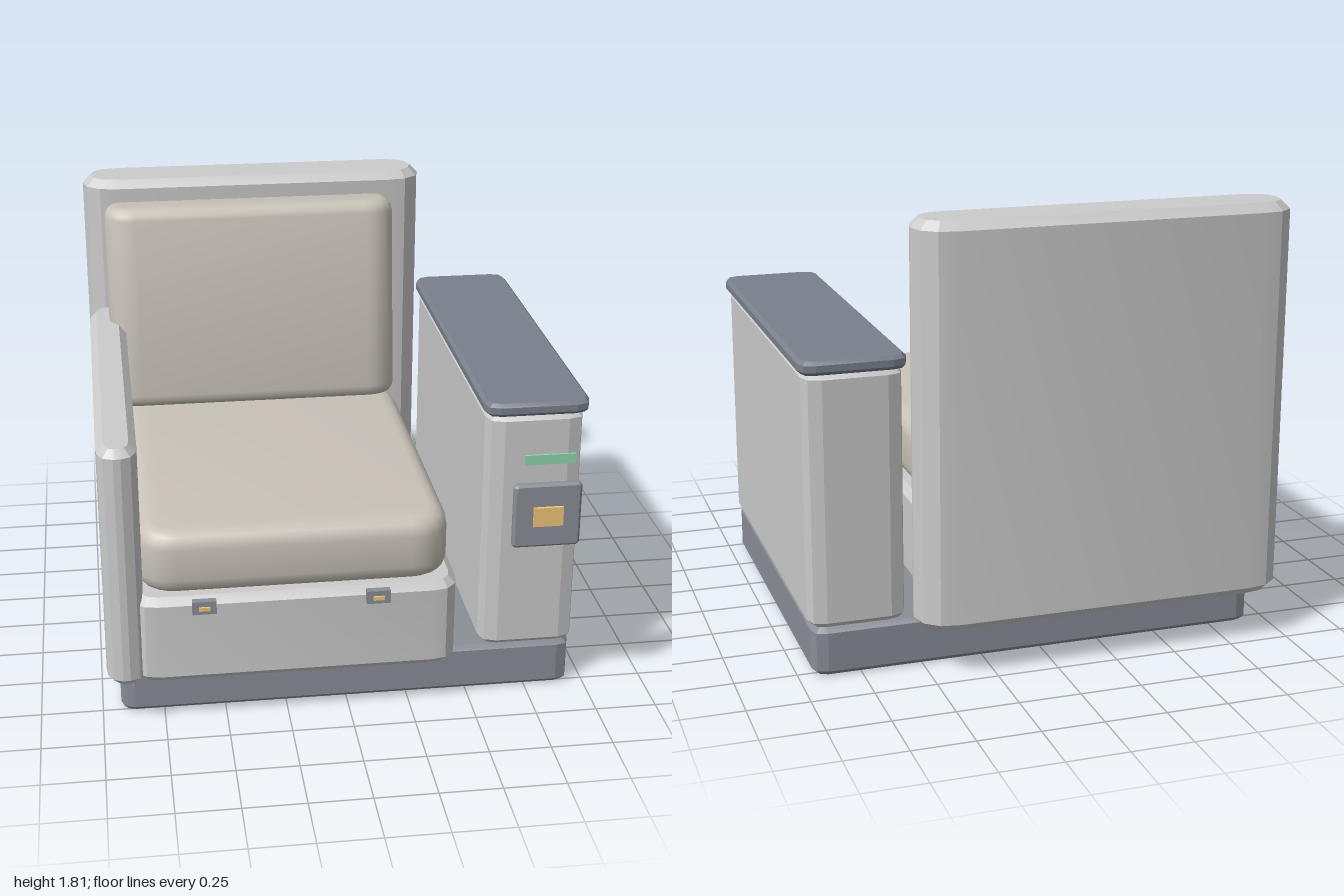
import * as THREE from 'three';
import { toCreasedNormals } from 'three/addons/utils/BufferGeometryUtils.js';

const GREY = 0xcccccc, FABRIC = 0xc9c3b9, SLATE = 0x8a8e96, DARK = 0x7a808c;
const GREEN = 0x8fd6ad, AMBER = 0xf0c67a;

// Plan outline with corners cut by curves rx wide and rz deep
function plan(w, d, rx, rz) {
  const x = w / 2, z = d / 2, s = new THREE.Shape();
  s.moveTo(-x + rx, -z);
  s.lineTo(x - rx, -z);
  s.quadraticCurveTo(x, -z, x, -z + rz);
  s.lineTo(x, z - rz);
  s.quadraticCurveTo(x, z, x - rx, z);
  s.lineTo(-x + rx, z);
  s.quadraticCurveTo(-x, z, -x, z - rz);
  s.lineTo(-x, -z + rz);
  s.quadraticCurveTo(-x, -z, -x + rx, -z);
  return s;
}

// Upright bevelled block standing on y = 0 and centred in x and z
function block(w, h, d, { rx = 0.04, rz = rx, bevel = 0.02, rings = 1, steps = 2, crease = 0.3 }) {
  const geo = new THREE.ExtrudeGeometry(plan(w - 2 * bevel, d - 2 * bevel, rx, rz), {
    depth: h - 2 * bevel, curveSegments: steps,
    bevelEnabled: true, bevelThickness: bevel, bevelSize: bevel, bevelSegments: rings,
  });
  geo.translate(0, 0, bevel);
  geo.rotateX(-Math.PI / 2);
  return toCreasedNormals(geo, crease);
}

export function createModel() {
  const group = new THREE.Group();
  const add = (name, geo, color, x, y, z) => {
    const mesh = new THREE.Mesh(geo, new THREE.MeshStandardMaterial({ color }));
    mesh.name = name;
    mesh.position.set(x, y, z);
    group.add(mesh);
    return mesh;
  };
  // Places a block by its limits on each axis
  const span = (name, color, [x0, x1], [y0, y1], [z0, z1], opts) =>
    add(name, block(x1 - x0, y1 - y0, z1 - z0, opts), color, (x0 + x1) / 2, y0, (z0 + z1) / 2);

  // Body
  span('plinth', SLATE, [-0.925, 0.94], [0, 0.2], [-0.8, 0.775], { rx: 0.04, bevel: 0.02 });
  span('backrest', GREY, [-0.977, 0.553], [0.2, 1.812], [-1, -0.73],
    { rx: 0.12, rz: 0.1, bevel: 0.035, steps: 3 });
  span('slimArm', GREY, [-0.977, -0.82], [0.2, 1.222], [-0.76, 0.915],
    { rx: 0.04, rz: 0.08, bevel: 0.03, steps: 3 });
  span('seatBase', GREY, [-0.87, 0.438], [0.2, 0.575], [-0.74, 0.905],
    { rx: 0.08, bevel: 0.03, steps: 3 });

  // Wide arm with table top
  span('consoleArm', GREY, [0.557, 0.952], [0.2, 1.225], [-0.8, 0.778], { rx: 0.05, bevel: 0.022 });
  span('armTableTop', DARK, [0.545, 0.97], [1.225, 1.28], [-0.82, 0.79], { rx: 0.05, bevel: 0.014 });

  // Cushions
  const soft = { rx: 0.09, bevel: 0.07, rings: 4, steps: 5, crease: 0.9 };
  span('seatCushion', FABRIC, [-0.84, 0.405], [0.575, 0.845], [-0.6, 0.885], soft);
  const back = add('backCushion',
    block(1.29, 0.905, 0.3, { ...soft, rx: 0.08, rz: 0.07, bevel: 0.055 }),
    FABRIC, -0.245, 0.825, -0.56);
  back.rotation.x = -0.12;

  // Control panel and light strip in front of the wide arm
  const panel = toCreasedNormals(new THREE.ExtrudeGeometry(plan(0.25, 0.25, 0.006, 0.006), {
    depth: 0.014, curveSegments: 1, bevelThickness: 0.01, bevelSize: 0.01, bevelSegments: 1,
  }), 0.3);
  add('controlPanel', panel, SLATE, 0.755, 0.888, 0.964);
  add('panelScreen', new THREE.BoxGeometry(0.118, 0.08, 0.016), AMBER, 0.757, 0.888, 0.992);
  add('lightStrip', new THREE.BoxGeometry(0.2, 0.04, 0.008), GREEN, 0.757, 1.127, 0.98);

  // Small clips on the front of the seat base
  for (const x of [-0.585, 0.105]) {
    add('seatClip', new THREE.BoxGeometry(0.095, 0.055, 0.03), SLATE, x, 0.543, 0.914);
    add('clipLight', new THREE.BoxGeometry(0.044, 0.016, 0.01), AMBER, x, 0.541, 0.932);
  }
  return group;
}
